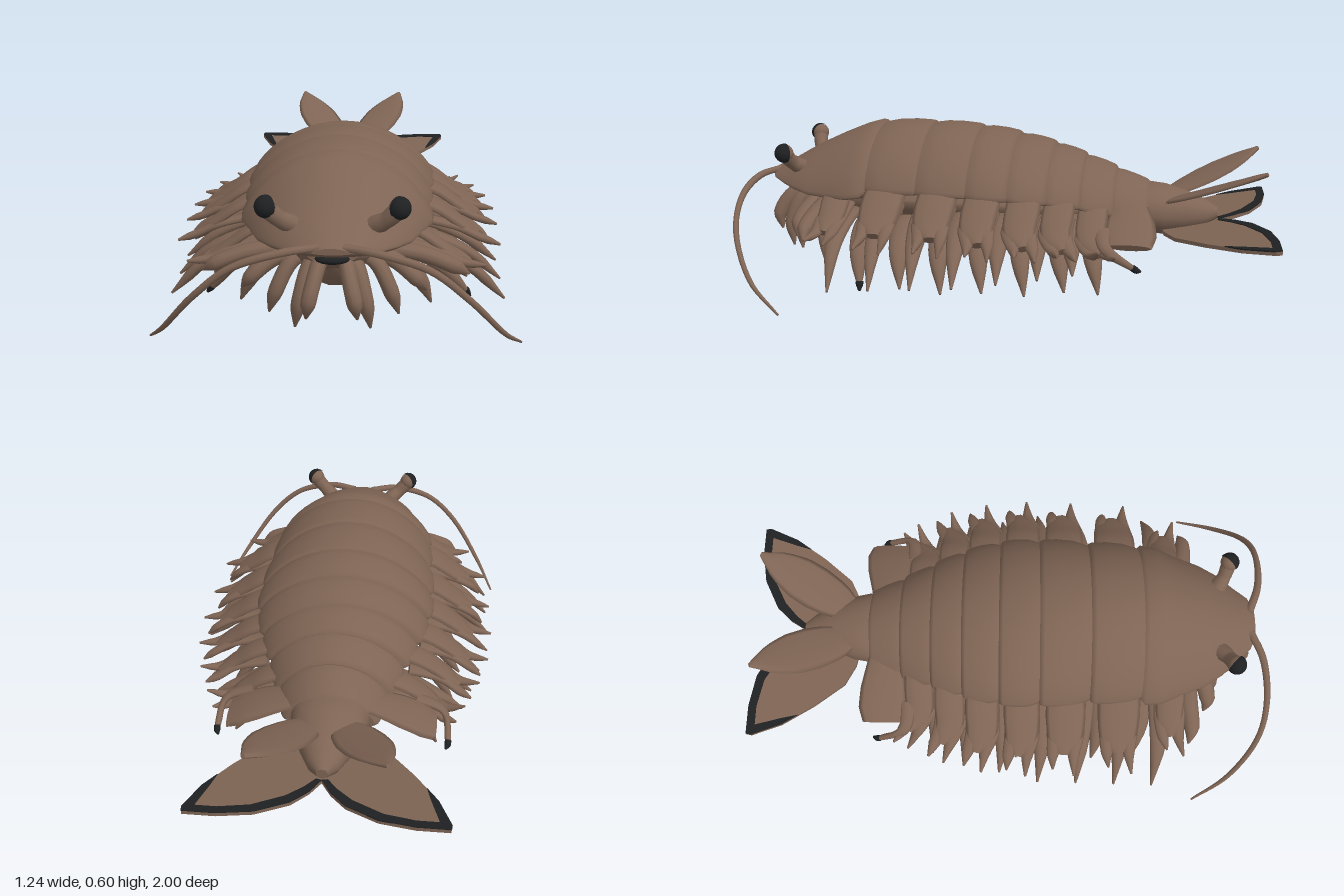
import * as THREE from 'three';

const V = (x, y, z) => new THREE.Vector3(x, y, z);
const mat = (name, hex) => {
  const m = new THREE.MeshStandardMaterial({ color: hex });
  m.name = name;
  return m;
};
const lerp = THREE.MathUtils.lerp;

// Skin a list of equal rings (counter-clockwise seen along the sweep), with flat end caps
function loft(rings) {
  const pos = [], idx = [], n = rings[0].length;
  const add = p => pos.push(p.x, p.y, p.z) / 3 - 1;
  rings.forEach(r => r.forEach(add));
  for (let i = 0; i < rings.length - 1; i++)
    for (let j = 0; j < n; j++) {
      const k = (j + 1) % n, a = i * n + j, b = i * n + k;
      idx.push(a, b, a + n, b, b + n, a + n);
    }
  [rings[0], rings[rings.length - 1]].forEach((r, end) => {
    const c = add(r.reduce((s, p) => s.add(p), V(0, 0, 0)).divideScalar(n));
    const first = pos.length / 3;
    r.forEach(add);
    for (let j = 0; j < n; j++) {
      const a = first + j, b = first + (j + 1) % n;
      idx.push(c, end ? a : b, end ? b : a);
    }
  });
  const g = new THREE.BufferGeometry();
  g.setAttribute('position', new THREE.Float32BufferAttribute(pos, 3));
  g.setIndex(idx);
  g.computeVertexNormals();
  return g;
}

// Lens-shaped limb or leaf swept along a curve; widths are half-widths along "side"
function blade(points, widths, thick, side = V(0, 0, 1), steps = 12, sides = 10) {
  const curve = new THREE.CatmullRomCurve3(points), rings = [];
  for (let i = 0; i <= steps; i++) {
    const t = i / steps, p = curve.getPoint(t), T = curve.getTangent(t);
    const N = T.clone().cross(side).normalize(), S = N.clone().cross(T);
    const f = t * (widths.length - 1), k = Math.min(Math.floor(f), widths.length - 2);
    const w = lerp(widths[k], widths[k + 1], f - k), h = Math.min(thick, w);
    rings.push(Array.from({ length: sides }, (_, j) => {
      const a = j / sides * Math.PI * 2;
      return p.clone().addScaledVector(S, w * Math.cos(a)).addScaledVector(N, h * Math.sin(a));
    }));
  }
  return loft(rings);
}

// Body cross-section: tented arch above the rim line, shallow curve below it
function arch(z, hw, top, rim, depth, power = 1.5, n = 40) {
  return Array.from({ length: n }, (_, j) => {
    const a = j / n * Math.PI * 2, s = Math.sin(a);
    return V(hw * Math.cos(a), s > 0 ? rim + (top - rim) * s ** power : rim + depth * s, z);
  });
}

// Thin flat plate from an outline in x and z, rising slightly to the rear
function plate(outline, y, thick, s) {
  const shape = new THREE.Shape(outline.map(([x, z]) => new THREE.Vector2(x * s, z)));
  const g = new THREE.ExtrudeGeometry(shape, { depth: thick, bevelEnabled: false });
  g.rotateX(Math.PI / 2).translate(0, y + thick / 2, 0);
  const p = g.attributes.position;
  for (let i = 0; i < p.count; i++) p.setY(i, p.getY(i) - 0.1 * (p.getZ(i) + 0.75));
  g.computeVertexNormals();
  return g;
}

export function createModel() {
  const model = new THREE.Group();
  model.name = 'crustacean';
  const shell = mat('shell brown', 0x7e6454);
  const black = mat('black', 0x1e2022);
  const red = mat('belly red', 0x4a1a12);
  const put = (name, geometry, material = shell) => {
    const m = new THREE.Mesh(geometry, material);
    m.name = name;
    model.add(m);
    return m;
  };

  // Overlapping back plates: z, half-width, top, rim at every seam
  const seams = [
    [0.515, 0.318, 0.598, 0.395], [0.32, 0.33, 0.602, 0.392], [0.13, 0.342, 0.592, 0.39],
    [-0.02, 0.337, 0.567, 0.382], [-0.16, 0.305, 0.533, 0.367], [-0.28, 0.26, 0.493, 0.345],
    [-0.4, 0.212, 0.447, 0.31], [-0.525, 0.17, 0.395, 0.28]];
  const bulge = [[0, 0.93], [0.04, 0.985], [0.1, 1.005], [0.35, 1.02], [0.65, 1.01], [0.88, 0.965], [1, 0.9]];
  for (let i = 0; i < seams.length - 1; i++) {
    const F = seams[i], R = seams[i + 1];
    put('backPlate', loft(bulge.map(([t, k]) => {
      const q = R.map((v, c) => lerp(v, F[c], t));
      return arch(lerp(R[0] - 0.015, F[0] + 0.01, t), q[1] * k, q[3] + (q[2] - q[3]) * k, q[3], 0.03);
    })));
  }

  // Head shield
  put('headShield', loft([
    [0.498, 0.305, 0.585, 0.385, 0.03], [0.52, 0.328, 0.6, 0.372, 0.03], [0.58, 0.322, 0.583, 0.362, 0.03],
    [0.66, 0.285, 0.55, 0.357, 0.03], [0.75, 0.25, 0.508, 0.358, 0.03], [0.82, 0.205, 0.47, 0.365, 0.03],
    [0.88, 0.15, 0.435, 0.37, 0.02], [0.93, 0.105, 0.412, 0.38, 0.012], [0.95, 0.06, 0.403, 0.388, 0.006]
  ].map(r => arch(...r))));

  // Trunk under the plates
  put('trunk', loft([
    [-0.56, 0.1, 0.36, 0.28, 0.06], [-0.4, 0.15, 0.4, 0.3, 0.065], [-0.15, 0.21, 0.43, 0.32, 0.09],
    [0.3, 0.23, 0.46, 0.33, 0.1], [0.6, 0.2, 0.44, 0.33, 0.1], [0.78, 0.13, 0.4, 0.34, 0.08],
    [0.86, 0.08, 0.38, 0.35, 0.03]].map(r => arch(...r))));
  put('belly', blade([V(0, 0.238, 0.66), V(0, 0.224, 0.45), V(0, 0.222, 0), V(0, 0.232, -0.41)],
    [0.03, 0.11, 0.1, 0.1, 0.09, 0.04], 0.009, V(1, 0, 0)), red);
  put('chin', blade([V(0, 0.31, 0.8), V(0, 0.25, 0.75), V(0, 0.21, 0.69), V(0, 0.23, 0.62)],
    [0.03, 0.06, 0.065, 0.04], 0.03, V(1, 0, 0)));
  const mouth = put('mouth', new THREE.SphereGeometry(1, 16, 10), black);
  mouth.scale.set(0.055, 0.016, 0.03);
  mouth.position.set(0, 0.34, 0.87);

  // Tail body
  put('tailBody', loft([
    [-0.8, 0.02, 0.3, 0.28, 0.02], [-0.76, 0.055, 0.325, 0.275, 0.045], [-0.68, 0.095, 0.36, 0.28, 0.075],
    [-0.6, 0.128, 0.382, 0.285, 0.093], [-0.54, 0.14, 0.388, 0.29, 0.09], [-0.49, 0.135, 0.38, 0.29, 0.06]
  ].map(r => arch(...r, 0.9))));

  for (const s of [1, -1]) {
    // Eyes: brown bulb on a stalk, dark cornea facing outward and forward
    put('eyeStalk', blade([V(0.12 * s, 0.425, 0.8), V(0.165 * s, 0.455, 0.83), V(0.2 * s, 0.49, 0.843)],
      [0.036, 0.027, 0.03], 0.03));
    const center = V(0.206 * s, 0.5, 0.845);
    put('eyeBulb', new THREE.SphereGeometry(0.034, 20, 14)).position.copy(center);
    const cornea = put('eye', new THREE.SphereGeometry(0.037, 20, 12, 0, Math.PI * 2, 0, Math.PI * 0.56), black);
    cornea.position.copy(center);
    cornea.quaternion.setFromUnitVectors(V(0, 1, 0), V(0.75 * s, 0.1, 0.75).normalize());

    // Antennae
    put('antenna', blade([V(0.04 * s, 0.4, 0.93), V(0.15 * s, 0.395, 0.972), V(0.3 * s, 0.35, 0.985),
      V(0.42 * s, 0.25, 0.965), V(0.54 * s, 0.1, 0.87), V(0.615 * s, 0.008, 0.74)],
    [0.016, 0.014, 0.012, 0.011, 0.009, 0.004], 0.013, V(0, 0, 1), 28, 8));

    // Side flaps, each ending in two spikes
    const flaps = [[0.62, 0.25, 0.37, 0.055], [0.42, 0.32, 0.39, 0.08], [0.22, 0.33, 0.39, 0.075], [0.055, 0.335, 0.38, 0.068],
      [-0.095, 0.32, 0.37, 0.064], [-0.22, 0.285, 0.355, 0.058], [-0.34, 0.23, 0.33, 0.056]];
    flaps.forEach(([z, x, y, w], i) => {
      const lean = (1 - i) * 0.008;
      put('sideFlap', blade([V((x - 0.07) * s, y + 0.02, z), V((x + 0.03) * s, y - 0.02, z),
        V((x + 0.1) * s, y - 0.07, z), V((x + 0.165) * s, y - 0.115, z + lean)],
      [w * 0.95, w, w, w * 0.95, w * 0.85, w * 0.35], 0.016));
      [[0.55, 0.25], [-0.5, 0.225]].forEach(([dz, yTip], k) => {
        const zs = z + dz * w, reach = x + 0.245 - 0.03 * k;
        put('flapSpike', blade([V((x - 0.02) * s, y - 0.05, zs), V((x + 0.1) * s, y - 0.08, zs),
          V((x + 0.17) * s, y - 0.115, zs + lean), V(reach * s, yTip, zs + 2 * lean + 0.01)],
        [0.03, 0.032, 0.022, 0.004], 0.014));
      });
    });
    put('rearFlap', blade([V(0.1 * s, 0.335, -0.47), V(0.2 * s, 0.31, -0.475), V(0.3 * s, 0.275, -0.48),
      V(0.37 * s, 0.24, -0.48)], [0.06, 0.075, 0.09, 0.095, 0.08], 0.014));
    put('rearSpur', blade([V(0.3 * s, 0.28, -0.38), V(0.4 * s, 0.24, -0.4), V(0.42 * s, 0.18, -0.5)],
      [0.03, 0.022, 0.01], 0.012));
    put('spurTip', blade([V(0.42 * s, 0.185, -0.495), V(0.418 * s, 0.175, -0.51), V(0.412 * s, 0.17, -0.525)],
      [0.013, 0.012, 0.004], 0.012), black);

    // Walking legs: a steep inner one and a wide outer one for each segment
    [0.52, 0.37, 0.22, 0.07, -0.08, -0.22, -0.34].forEach((z, i) => {
      const k = 1 - Math.max(0, i - 3) * 0.06, tip = V(0.465 * k * s, 0.062 + (i % 2) * 0.012, z - 0.035);
      put('innerLeg', blade([V(0.05 * s, 0.222, z), V(0.19 * k * s, 0.25, z), V(0.35 * k * s, 0.19, z - 0.005), tip],
        [0.02, 0.052, 0.05, 0.042, 0.03, 0.004], 0.02));
      if (i === 0) put('legTip', blade([tip.clone().add(V(-0.018 * s, 0.024, 0.004)), tip.clone().add(V(-0.009 * s, 0.012, 0.002)),
        tip.clone().add(V(0.001 * s, -0.002, 0))], [0.016, 0.012, 0.005], 0.014), black);
      put('outerLeg', blade([V(0.09 * s, 0.26, z + 0.07), V(0.26 * k * s, 0.285, z + 0.07),
        V(0.44 * k * s, 0.22, z + 0.065), V(0.575 * k * s, 0.09 + 0.012 * i, z + 0.05)],
      [0.045, 0.055, 0.042, 0.026, 0.004], 0.018));
    });

    // Front feeding limbs fanned below the mouth
    [[0.12, 0.105, 0.86], [0.21, 0.125, 0.79], [0.32, 0.11, 0.66], [0.08, 0.16, 0.92],
      [0.44, 0.23, 0.7], [0.3, 0.2, 0.77]].forEach(([x, y, z], i) => {
      const bz = lerp(0.68, z, 0.5);
      put('frontLimb', blade([V((0.04 + 0.02 * (i % 3)) * s, 0.32, bz), V(x * 0.62 * s, 0.3, lerp(bz, z, 0.6)),
        V(x * 0.88 * s, lerp(0.3, y, 0.55), z + 0.01), V(x * s, y, z)], [0.035, 0.036, 0.03, 0.004], 0.026));
    });

    // Raised inner tail leaves
    put('upperTailLeaf', blade([V(0.05 * s, 0.325, -0.59), V(0.11 * s, 0.38, -0.72), V(0.17 * s, 0.435, -0.84),
      V(0.225 * s, 0.49, -0.955)], [0.03, 0.075, 0.088, 0.085, 0.06, 0.008], 0.01, V(0.9 * s, 0, 0.42)));

    // Flat outer tail paddles, dark rim on the upper face only
    const rearEdge = [[0.39, -0.87], [0.434, -0.98], [0.43, -1], [0.32, -1], [0.2, -0.98],
      [0.09, -0.925], [0.035, -0.865], [0, -0.805]];
    put('tailPaddle', plate([[0.03, -0.58], [0.14, -0.6], [0.22, -0.64], [0.31, -0.75], ...rearEdge, [0.01, -0.68]],
      0.243, 0.014, s));
    put('paddleRim', plate([[0.35, -0.81], ...rearEdge, [0.02, -0.8], [0.055, -0.845], [0.11, -0.895],
      [0.215, -0.95], [0.32, -0.97], [0.395, -0.97], [0.365, -0.87]], 0.2505, 0.005, s), black);
  }
  return model;
}
